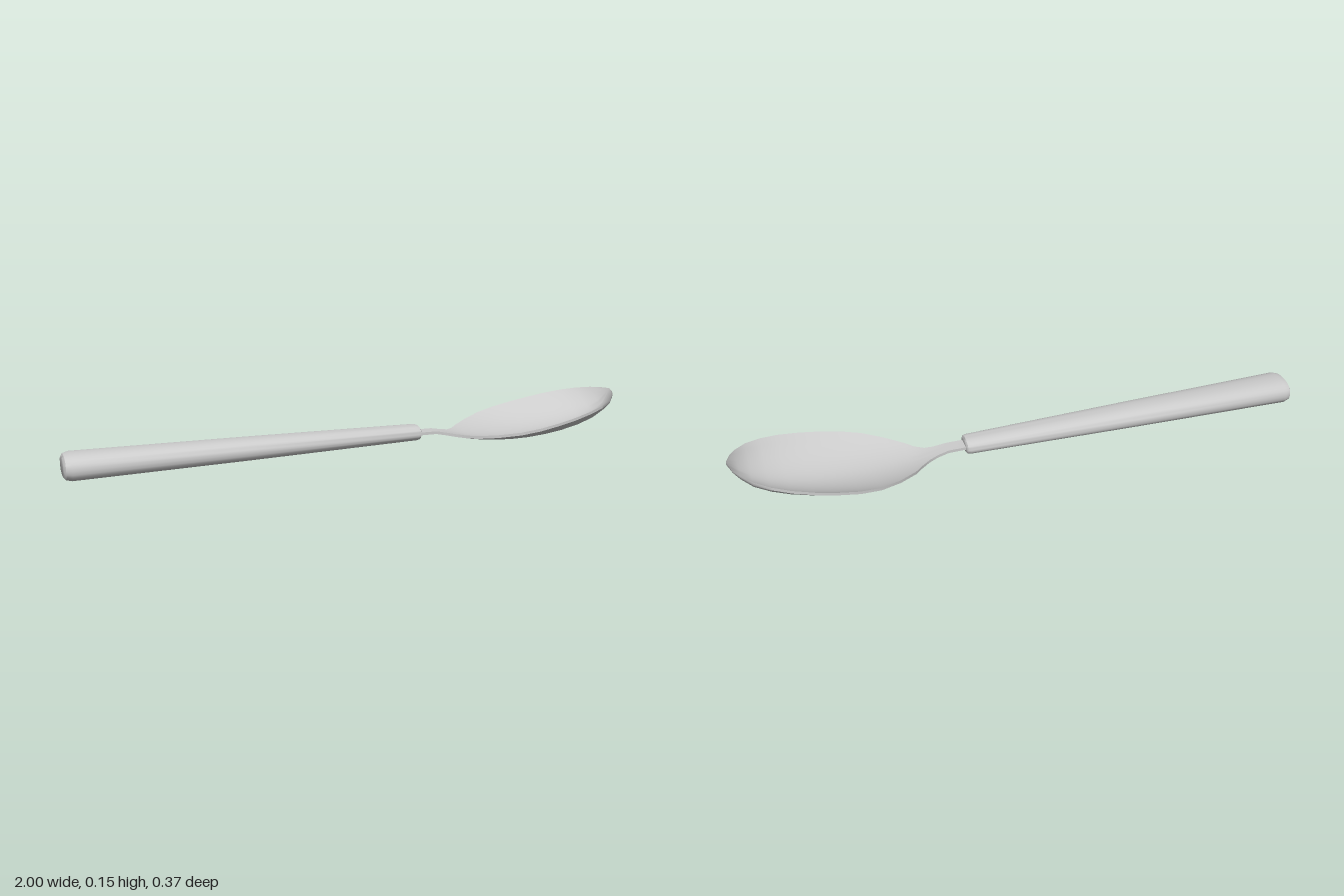
import * as THREE from 'three';
import { toCreasedNormals } from 'three/addons/utils/BufferGeometryUtils.js';

const material = new THREE.MeshStandardMaterial({ color: 0xcccccc });

// Closed skin through equal-sized rings of [x, y, z], ordered along +x.
function loft(rings, crease) {
  const n = rings[0].length, last = (rings.length - 1) * n, index = [];
  for (let i = 0; i < rings.length - 1; i++) {
    for (let j = 0; j < n; j++) {
      const k = (j + 1) % n, a = i * n + j, b = i * n + k;
      index.push(a, b, b + n, a, b + n, a + n);
    }
  }
  for (let j = 1; j < n - 1; j++) {
    index.push(0, j + 1, j, last, last + j, last + j + 1);
  }
  const geometry = new THREE.BufferGeometry();
  geometry.setAttribute('position', new THREE.Float32BufferAttribute(rings.flat(2), 3));
  geometry.setIndex(index);
  return toCreasedNormals(geometry, crease);
}

// Rounded, slightly squared oval for the handle.
function ovalRing(x, halfY, halfZ, sides = 28) {
  const soft = (v) => Math.sign(v) * Math.pow(Math.abs(v), 0.85);
  return Array.from({ length: sides }, (_, j) => {
    const a = (j / sides) * Math.PI * 2;
    return [x, 0.051 + halfY * soft(Math.cos(a)), -0.002 + halfZ * soft(Math.sin(a))];
  });
}

// Thin dished strip: level at the rim, sagging to the floor in the middle.
function dishRing([x, halfWidth, rim, floor], steps = 16) {
  const thickness = x > 0.95 ? 0.007 : 0.01;
  const top = [], under = [];
  for (let j = 0; j <= steps; j++) {
    const t = (j / steps) * 2 - 1;
    const y = floor + (rim - thickness - floor) * Math.pow(Math.abs(t), 1.9);
    top.push([x, y + thickness, t * halfWidth]);
    under.unshift([x, y, t * halfWidth]);
  }
  return [...top, ...under];
}

export function createModel() {
  const group = new THREE.Group();
  const add = (name, geometry) => {
    const mesh = new THREE.Mesh(geometry, material);
    mesh.name = name;
    group.add(mesh);
  };

  // Tapered handle with softened ends
  add('handle', loft([
    ovalRing(-1, 0.03, 0.054),
    ovalRing(-0.994, 0.039, 0.065),
    ovalRing(-0.975, 0.044, 0.072),
    ovalRing(-0.4, 0.037, 0.059),
    ovalRing(0.205, 0.027, 0.043),
    ovalRing(0.216, 0.025, 0.04),
    ovalRing(0.22, 0.02, 0.034),
  ], 0.7));

  // Neck and bowl in one strip: x, half width, rim height, floor height
  const stations = [
    [0.18, 0.024, 0.054, 0.044],
    [0.28, 0.024, 0.053, 0.043],
    [0.32, 0.028, 0.045, 0.034],
    [0.35, 0.038, 0.039, 0.027],
    [0.38, 0.06, 0.037, 0.02],
    [0.41, 0.09, 0.039, 0.014],
    [0.47, 0.132, 0.047, 0.007],
    [0.54, 0.167, 0.058, 0.002],
    [0.61, 0.182, 0.07, 0.001],
    [0.68, 0.184, 0.083, 0.004],
    [0.75, 0.179, 0.096, 0.011],
    [0.82, 0.166, 0.11, 0.023],
    [0.88, 0.145, 0.122, 0.039],
    [0.93, 0.115, 0.132, 0.061],
    [0.965, 0.076, 0.14, 0.088],
    [0.985, 0.045, 0.144, 0.113],
    [1, 0.004, 0.147, 0.14],
  ];
  add('neckAndBowl', loft(stations.map((s) => dishRing(s)), 0.75));

  return group;
}
